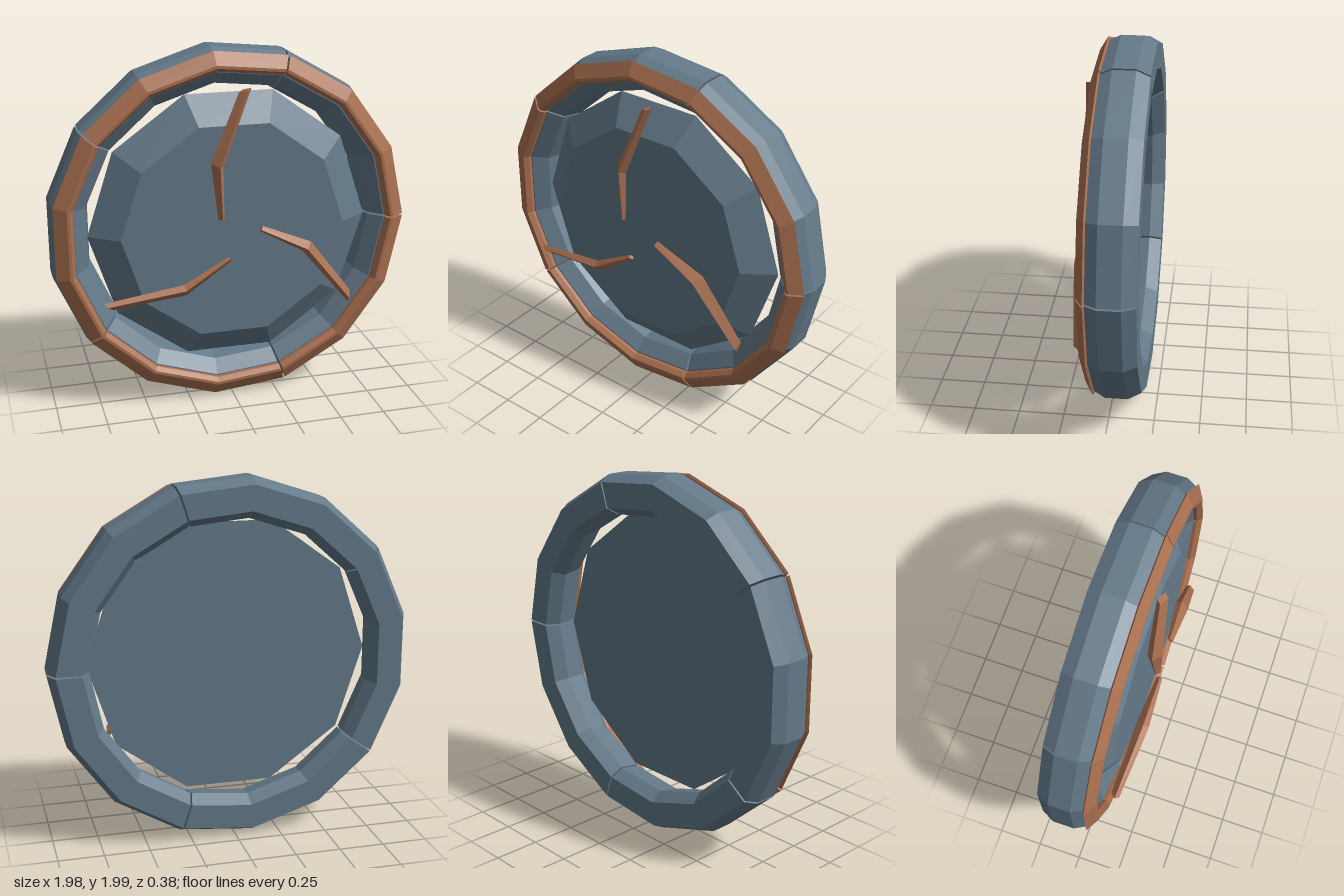
import * as THREE from 'three';

const steel = new THREE.MeshStandardMaterial({ color: 0x647989 });
steel.name = 'slate blue';
const copper = new THREE.MeshStandardMaterial({ color: 0xaa7050 });
copper.name = 'copper';

// Closed, faceted solid joining a series of equal-sized cross-sections
function loft(sections) {
  const tris = [];
  const n = sections[0].length;
  for (let s = 0; s < sections.length - 1; s++) {
    const a = sections[s], b = sections[s + 1];
    for (let i = 0; i < n; i++) {
      const j = (i + 1) % n;
      tris.push([a[i], a[j], b[j]], [a[i], b[j], b[i]]);
    }
  }
  const first = sections[0], last = sections[sections.length - 1];
  for (let i = 1; i < n - 1; i++) {
    tris.push([first[0], first[i + 1], first[i]], [last[0], last[i], last[i + 1]]);
  }
  // Turn the faces outwards whichever way the sections run
  const volume = tris.reduce((v, [p, q, r]) => v + p.dot(q.clone().cross(r)), 0);
  const points = tris.flatMap(([p, q, r]) => (volume > 0 ? [p, q, r] : [p, r, q]));
  const geometry = new THREE.BufferGeometry().setFromPoints(points);
  geometry.computeVertexNormals();
  return geometry;
}

// Arc of a [radius, z] profile, with a corner every 24 degrees
function arcSegment(profile, startDeg) {
  const gap = 0.32;
  const angles = [startDeg + gap, startDeg + 24, startDeg + 48, startDeg + 72 - gap];
  return loft(angles.map((deg) => {
    const t = THREE.MathUtils.degToRad(deg);
    return profile.map(([r, z]) => new THREE.Vector3(r * Math.cos(t), r * Math.sin(t), z));
  }));
}

// Bent, tapering claw with diamond cross-sections
function clawGeometry() {
  const stations = [ // x, y, z, half width, half depth
    [0.047, 0.785, 0.138, 0.034, 0.026],
    [-0.108, 0.395, 0.157, 0.034, 0.038],
    [-0.09, 0.1, 0.171, 0.016, 0.017],
  ];
  const sides = [[0.95, 0.31], [0.95, -0.31], [0.98, 0.17]]; // across each station
  return loft(stations.map(([x, y, z, w, d], i) => {
    const [cx, cy] = sides[i];
    return [[1, 0.15], [0.25, 1], [-1, -0.15], [-0.25, -1]].map(([u, v]) =>
      new THREE.Vector3(x + cx * w * u, y + cy * w * u, z + d * v));
  }));
}

export function createModel() {
  const model = new THREE.Group();
  model.name = 'shield';
  const body = new THREE.Group();
  body.name = 'body';
  body.position.y = 1;
  model.add(body);

  const add = (name, geometry, material) => {
    const mesh = new THREE.Mesh(geometry, material);
    mesh.name = name;
    body.add(mesh);
    return mesh;
  };

  // Five rim segments, each with a copper band on its front
  const rimProfile = [
    [0.965, 0.065], [1.0, 0.0], [1.0, -0.12], [0.963, -0.19],
    [0.825, -0.19], [0.78, -0.12], [0.805, 0.0], [0.875, 0.065],
  ];
  const bandProfile = [
    [0.975, 0.06], [0.988, 0.068], [0.918, 0.11], [0.902, 0.11], [0.882, 0.085], [0.882, 0.06],
  ];
  for (let i = 0; i < 5; i++) {
    add(`rimSegment${i + 1}`, arcSegment(rimProfile, i * 72), steel);
    add(`frontBand${i + 1}`, arcSegment(bandProfile, i * 72), copper);
  }

  // Ten-sided bevelled plate inside the rim
  const plate = new THREE.CylinderGeometry(0.62, 0.783, 0.115, 10, 1, false, Math.PI / 2)
    .rotateX(Math.PI / 2).translate(0, 0, 0.043).toNonIndexed();
  plate.computeVertexNormals();
  add('centrePlate', plate, steel);

  // Three claws around the centre
  const claw = clawGeometry();
  for (let i = 0; i < 3; i++) {
    add(`claw${i + 1}`, claw, copper).rotation.z = (i * Math.PI * 2) / 3;
  }

  return model;
}
